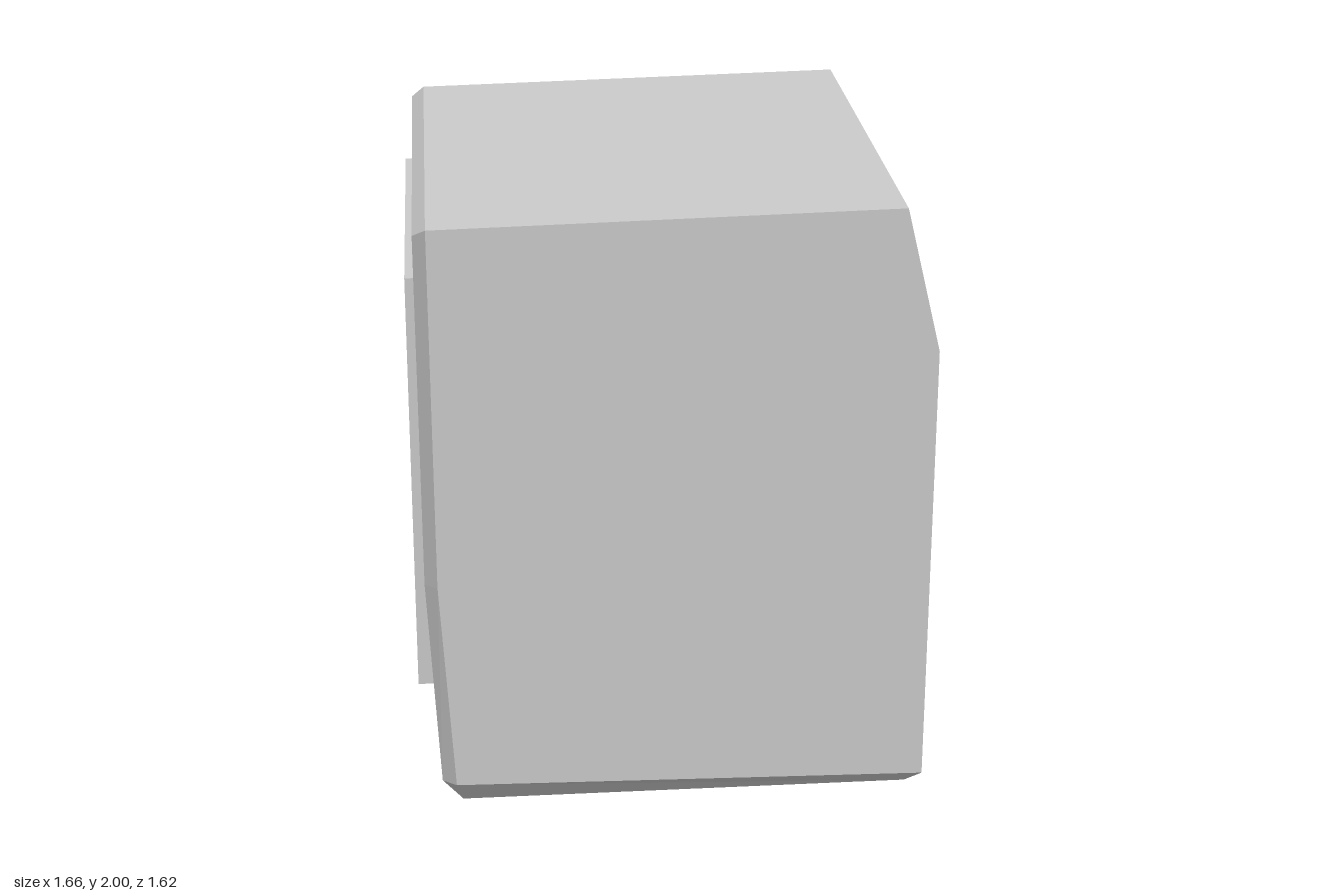
import * as THREE from 'three';

const V = (x, y, z) => new THREE.Vector3(x, y, z);
const mirror = (p) => V(p.x, p.y, -p.z);

// Triangle soup from convex polygons (corners counter-clockwise)
function polyGeometry(polys) {
  const pos = [];
  for (const p of polys)
    for (let i = 1; i < p.length - 1; i++)
      for (const v of [p[0], p[i], p[i + 1]]) pos.push(v.x, v.y, v.z);
  const g = new THREE.BufferGeometry();
  g.setAttribute('position', new THREE.Float32BufferAttribute(pos, 3));
  g.computeVertexNormals();
  return g;
}

export function createModel() {
  const group = new THREE.Group();
  const mat = new THREE.MeshStandardMaterial({ color: 0xcccccc, flatShading: true });
  const add = (name, geometry) => {
    const m = new THREE.Mesh(geometry, mat);
    m.name = name;
    group.add(m);
    return m;
  };

  // Corners of the +z half; the other half is mirrored
  const W = 0.81, R = 0.78, wallX = 0.792, floorX = -0.66;
  const A = V(-0.76, 1.97, W), B = V(0.68, 2, W), C = V(wallX, 1.54, W);
  const D = V(wallX, 0.07, W), E = V(-0.72, 0.097, W), F = V(-0.76, 0.8, W);
  const a = V(-0.8, 1.945, R), f = V(-0.8, 0.8, R), e = V(-0.765, 0.1, R);
  const g = V(floorX, 1.945, R), h = V(floorX, 0.1, R);
  const p = V(0.75, 0, 0.73), q = V(-0.7, 0, 0.73);

  const sides = [
    [A, F, E, D, C, B],               // flat side
    [A, a, f, F], [F, f, e, E],       // rim bevel
    [E, e, q], [E, q, p, D],          // bottom bevel
    [a, g, h, e, f],                  // recess side wall
  ];
  const strips = [
    [A, B], [B, C], [D, p], [p, q], [q, e], [a, A], // top, slope, underside, bevels
    [g, a], [e, h], [h, g],                         // recess ceiling, ledge, back
  ];
  const polys = [];
  for (const s of sides) polys.push(s, s.map(mirror).reverse());
  for (const [s, t] of strips) polys.push([s, t, mirror(t), mirror(s)]);
  add('body', polyGeometry(polys));

  // Wall with the octagonal opening
  const octagon = (r) => Array.from({ length: 8 }, (_, i) =>
    new THREE.Vector2(r * Math.sin(i * Math.PI / 4), 0.845 + r * Math.cos(i * Math.PI / 4)));
  const wall = new THREE.Shape([[-W, D.y], [W, D.y], [W, C.y], [-W, C.y]]
    .map(([x, y]) => new THREE.Vector2(x, y)));
  wall.holes.push(new THREE.Path(octagon(0.53)));
  const wallMesh = add('openingWall', new THREE.ShapeGeometry(wall));
  wallMesh.rotation.y = Math.PI / 2;
  wallMesh.position.x = wallX;

  // Raised octagonal collar and its bore
  const profile = [[0.565, 0], [0.565, 0.038], [0.505, 0.038], [0.505, -1], [0, -1]]
    .map(([x, y]) => new THREE.Vector2(x, y));
  const collar = add('collarAndBore', new THREE.LatheGeometry(profile, 8));
  collar.rotation.z = -Math.PI / 2;
  collar.position.set(wallX, 0.845, 0);

  // Slab standing proud of the recess
  const panel = add('recessPanel', new THREE.BoxGeometry(0.122, 1.387, 1.27));
  panel.position.set(-0.77, 1.068, -0.003);
  panel.rotation.z = -0.003;

  return group;
}
